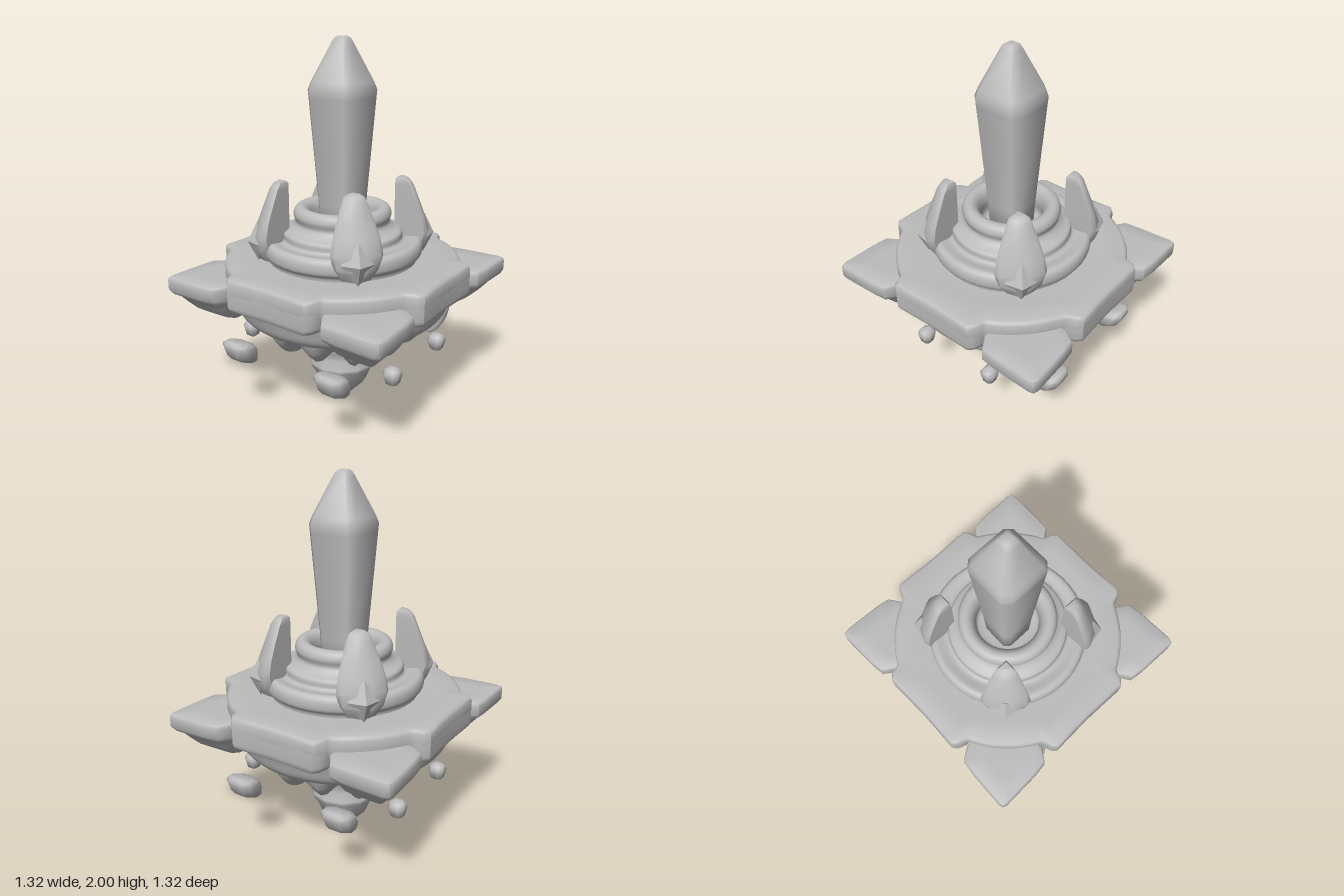
import * as THREE from 'three';
import { toCreasedNormals } from 'three/addons/utils/BufferGeometryUtils.js';

const stone = new THREE.MeshStandardMaterial({ color: 0xbcbcbc });
stone.name = 'grey stone';

function mesh(name, geometry) {
  const m = new THREE.Mesh(geometry, stone);
  m.name = name;
  return m;
}

// Skin a stack of rings, listed bottom to top; each is { y, pts: [[x, z], ...] }
function loft(rings, crease = 0.8) {
  const n = rings[0].pts.length, pos = [], idx = [];
  const area = rings[1].pts.reduce((s, [x, z], i, p) => {
    const q = p[(i + 1) % n];
    return s + x * q[1] - q[0] * z;
  }, 0);
  for (const { y, pts } of rings) {
    const ordered = area > 0 ? [...pts].reverse() : pts;
    for (const [x, z] of ordered) pos.push(x, y, z);
  }
  for (let r = 0; r < rings.length - 1; r++)
    for (let j = 0; j < n; j++) {
      const a = r * n + j, b = r * n + (j + 1) % n;
      idx.push(a, b, b + n, a, b + n, a + n);
    }
  for (const r of [0, rings.length - 1]) {
    const c = pos.length / 3, { y, pts } = rings[r];
    pos.push(pts.reduce((s, p) => s + p[0], 0) / n, y, pts.reduce((s, p) => s + p[1], 0) / n);
    for (let j = 0; j < n; j++) {
      const a = r * n + j, b = r * n + (j + 1) % n;
      if (r === 0) idx.push(c, b, a); else idx.push(c, a, b);
    }
  }
  const g = new THREE.BufferGeometry();
  g.setAttribute('position', new THREE.Float32BufferAttribute(pos, 3));
  g.setIndex(idx);
  return toCreasedNormals(g, crease);
}

// Scale an outline about a point to make one ring
const ring = (pts, y, s, cx = 0, cz = 0) =>
  ({ y, pts: pts.map(([x, z]) => [cx + (x - cx) * s, cz + (z - cz) * s]) });

// Lathe from [radius, y] pairs, listed bottom to top on the outside
function lathe(profile, segments = 48, smooth = true) {
  let pts = profile.map(([r, y]) => new THREE.Vector2(r, y));
  if (smooth) pts = new THREE.SplineCurve(pts).getPoints(profile.length * 4).map(p => p.setX(Math.max(p.x, 0)));
  return new THREE.LatheGeometry(pts, segments);
}

// Add four copies, turned a quarter each
function fourTimes(group, name, geometry, offset = 0) {
  for (let i = 0; i < 4; i++) {
    const m = mesh(name, geometry);
    m.rotation.y = offset + i * Math.PI / 2;
    group.add(m);
  }
}

export function createModel() {
  const group = new THREE.Group();

  // Crystal with chamfered square section
  const square = [[1, .75], [.75, 1], [-.75, 1], [-1, .75], [-1, -.75], [-.75, -1], [.75, -1], [1, -.75]];
  group.add(mesh('crystal', loft([
    ring(square, .93, .09), ring(square, 1.15, .1), ring(square, 1.7, .137), ring(square, 1.74, .14),
    ring(square, 1.78, .127), ring(square, 1.97, .043), ring(square, 1.99, .033), ring(square, 2, .02),
  ], 1.6)));

  // Stepped pedestal with a hollow rim
  group.add(mesh('pedestal', lathe([
    [.4, .8], [.4, .87], [.425, .9], [.425, .95], [.4, .975], [.345, .965], [.32, .975], [.315, 1.01],
    [.275, 1.03], [.25, 1.06], [.26, 1.1], [.245, 1.135], [.21, 1.143], [.18, 1.12], [.165, 1.07], [.16, .98], [0, .97],
  ])));

  // Deck: a round plate with a straight slab front on each side, all flush on top
  const slab = [[-.28, .57], [-.265, .615], [-.24, .64], [-.12, .636], [0, .633],
    [.12, .636], [.24, .64], [.265, .615], [.28, .57]];
  const arc = Array.from({ length: 9 }, (_, i) => {
    const a = Math.PI / 2 - (.48 + i / 8 * (Math.PI / 2 - .96));
    return [Math.cos(a) * .628, Math.sin(a) * .628];
  });
  const outline = [0, 1, 2, 3].flatMap(k => [...slab, ...arc].map(([x, z]) => {
    const c = [1, 0, -1, 0][k], s = [0, -1, 0, 1][k];
    return [x * c - z * s, x * s + z * c];
  }));
  group.add(mesh('deck', loft([
    ring(outline, .74, .98), ring(outline, .79, 1), ring(outline, .845, 1), ring(outline, .859, .99),
    ring(outline, .866, .965), ring(outline, .858, .8), ring(outline, .858, .5),
  ])));

  // Lower halves of the slabs
  const slabBase = [[-.27, .4], ...slab, [.27, .4]];
  fourTimes(group, 'sideSlab', loft([
    ring(slabBase, .695, .94, 0, .45), ring(slabBase, .705, .98, 0, .45), ring(slabBase, .725, 1, 0, .45),
    ring(slabBase, .8, 1, 0, .45),
  ]));

  // Lower corner blocks with tapering undersides
  const corner = [[.3, .3], [.58, .295], [.645, .34], [.655, .42], [.662, .63], [.655, .655], [.63, .662],
    [.42, .655], [.34, .645], [.295, .58]];
  fourTimes(group, 'cornerBlock', loft([
    ring(corner, .55, .2, .4, .4), ring(corner, .58, .45, .4, .4), ring(corner, .61, .62, .4, .4),
    ring(corner, .65, .75, .4, .4), ring(corner, .685, .85, .4, .4), ring(corner, .7, .95, .4, .4),
    ring(corner, .72, 1, .4, .4), ring(corner, .77, 1, .4, .4), ring(corner, .787, .985, .4, .4),
    ring(corner, .793, .95, .4, .4), ring(corner, .793, .6, .4, .4),
  ]));

  // Rocky underside ending in a jagged skirt around a shallow hollow
  const under = lathe([[.12, .46], [.2, .455], [.26, .44], [.3, .42], [.34, .42], [.39, .445], [.43, .48], [.455, .515],
    [.475, .545], [.53, .565], [.565, .6], [.585, .65], [.6, .7], [.6, .76]], 96);
  const p = under.attributes.position;
  for (let i = 0; i < p.count; i++) {
    const a = Math.atan2(p.getZ(i), p.getX(i));
    const r = Math.hypot(p.getX(i), p.getZ(i));
    const low = THREE.MathUtils.clamp((.56 - p.getY(i)) / .12, 0, 1);
    const jag = low * THREE.MathUtils.smoothstep(r, .18, .28);
    const k = 1 - jag * (.02 + .03 * Math.cos(12 * a));
    p.setXYZ(i, p.getX(i) * k, p.getY(i) + jag * (.035 * Math.cos(12 * a) + .01 * Math.cos(4 * a)), p.getZ(i) * k);
  }
  under.computeVertexNormals();
  group.add(mesh('underside', under));

  // Pointed root
  group.add(mesh('root', lathe([[0, 0], [.03, .015], [.07, .058], [.137, .128], [.162, .19], [.188, .23],
    [.19, .25], [.172, .3], [.178, .34], [.198, .385], [.2, .5]], 12, false)));

  // Tusks on the diagonals: sharp straight inner edge, outer side swelling to the base
  // Each row: height, inner distance, half width, outer distance
  const tusk = [[.87, .3, .08, .44], [.93, .285, .115, .47], [1, .283, .13, .465],
    [1.08, .283, .117, .44], [1.16, .283, .092, .41], [1.24, .283, .064, .38],
    [1.27, .284, .05, .36], [1.282, .295, .03, .34]];
  fourTimes(group, 'tusk', loft(tusk.map(([y, a, w, o]) => {
    const s = a + w, m = (s + o) / 2;
    return { y, pts: [[a, 0], [s, w], [m, w * .88], [o, w * .3], [o, -w * .3], [m, -w * .88], [s, -w]] };
  }), 0.75), Math.PI / 4);

  // Faceted boss at each tusk base
  const boss = new THREE.OctahedronGeometry(1).scale(.055, .11, .085).translate(.45, .965, 0);
  fourTimes(group, 'tuskBoss', boss, Math.PI / 4);

  // Floating rocks, leaning outwards
  const oct = Array.from({ length: 8 }, (_, i) => {
    const a = (i + .5) * Math.PI / 4;
    return [Math.sign(Math.cos(a)) * Math.abs(Math.cos(a)) ** .7, Math.sign(Math.sin(a)) * Math.abs(Math.sin(a)) ** .7];
  });
  // Each row: height, half width, half depth, outward lean
  const rock = rows => loft(rows.map(([y, w, d, lean]) =>
    ({ y, pts: oct.map(([x, z]) => [x * w, z * d + lean]) })), 1.2);
  const bigRock = rock([[-.075, .03, .022, -.057], [-.06, .055, .038, -.045], [-.03, .07, .064, -.018],
    [0, .08, .075, -.006], [.045, .085, .066, .018], [.065, .075, .046, .036], [.08, .045, .016, .055]]);
  const smallRock = rock([[-.045, .02, .02, 0], [-.035, .035, .033, 0], [.015, .047, .045, 0],
    [.038, .04, .033, 0], [.05, .02, .015, 0]]);
  for (const sx of [-1, 1])
    for (const sz of [-1, 1]) {
      const big = mesh('largeFloatingRock', bigRock);
      big.position.set(.3 * sx, .395, .5 * sz);
      big.rotation.y = sz > 0 ? 0 : Math.PI;
      const small = mesh('smallFloatingRock', smallRock);
      small.position.set(.47 * sx, .383, .23 * sz);
      group.add(big, small);
    }

  return group;
}
